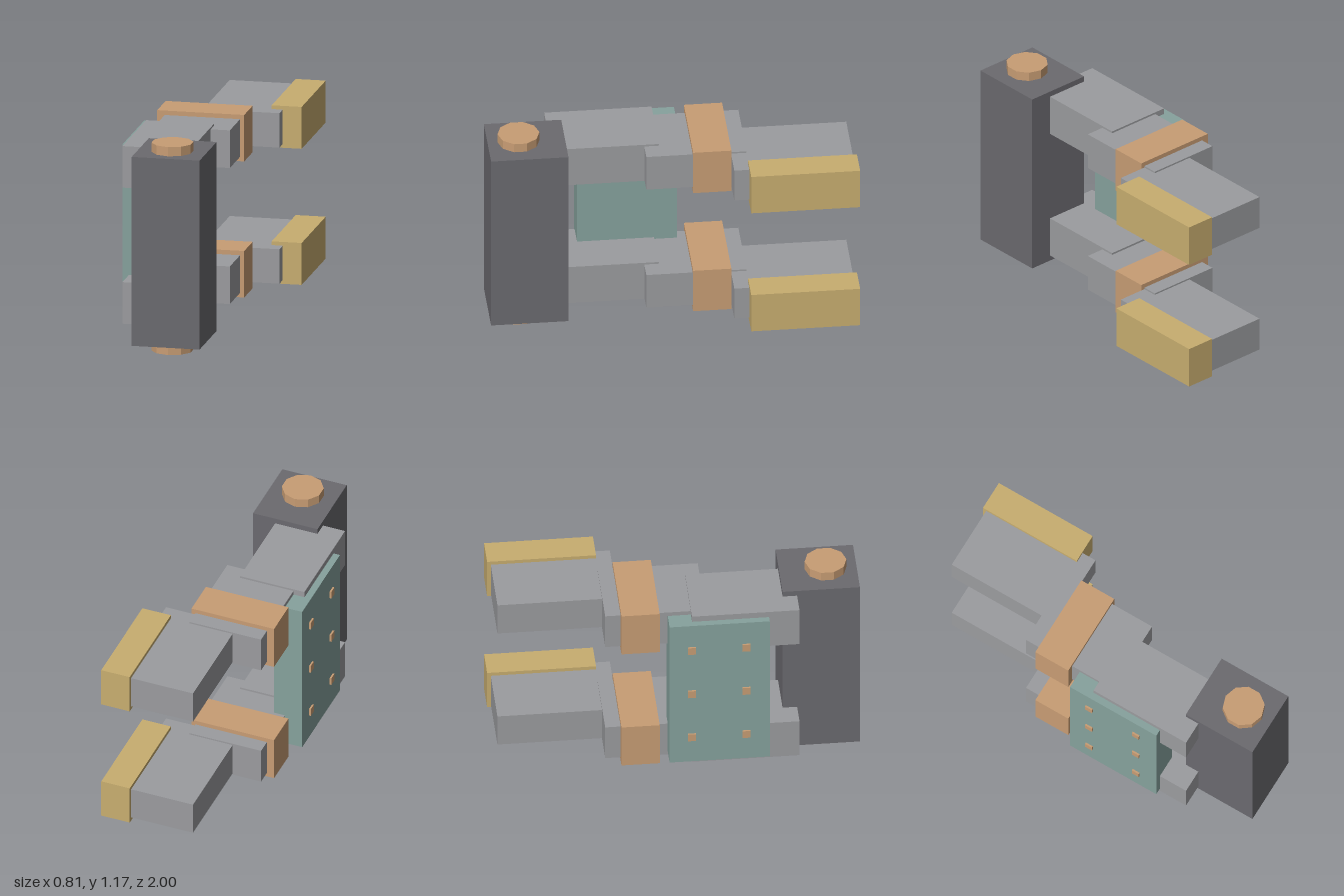
import * as THREE from 'three';

const mat = (name, color) => {
  const m = new THREE.MeshStandardMaterial({ color });
  m.name = name;
  return m;
};

export function createModel() {
  const darkGrey = mat('dark grey', 0x6b6a6f);
  const lightGrey = mat('light grey', 0x9b9c9f);
  const copper = mat('copper', 0xc89d74);
  const gold = mat('gold', 0xc8ae70);
  const teal = mat('teal', 0x86a29d);

  const root = new THREE.Group();
  root.name = 'hingedBracket';

  // Box given by its [min, max] range along each axis
  const box = (parent, name, material, [x0, x1], [y0, y1], [z0, z1]) => {
    const mesh = new THREE.Mesh(new THREE.BoxGeometry(x1 - x0, y1 - y0, z1 - z0), material);
    mesh.position.set((x0 + x1) / 2, (y0 + y1) / 2, (z0 + z1) / 2);
    mesh.name = name;
    parent.add(mesh);
    return mesh;
  };

  // Upright post with a ten-sided pin through it
  box(root, 'post', darkGrey, [-0.23, 0.15], [0.055, 1.12], [0.575, 1.0]);
  const pinGeometry = new THREE.CylinderGeometry(0.115, 0.115, 1.172, 10).toNonIndexed();
  pinGeometry.computeVertexNormals();
  const pin = new THREE.Mesh(pinGeometry, copper);
  pin.name = 'pin';
  pin.position.set(-0.04, 0.586, 0.83);
  root.add(pin);

  // Two identical stepped arms
  [['lowerArm', 0.204], ['upperArm', 0.971]].forEach(([name, y]) => {
    const arm = new THREE.Group();
    arm.name = name;
    arm.position.y = y;
    box(arm, 'baseSegment', lightGrey, [-0.36, 0.02], [-0.117, 0.117], [0.065, 0.655]);
    box(arm, 'middleSegment', lightGrey, [-0.295, 0.127], [-0.106, 0.106], [-0.405, 0.145]);
    box(arm, 'collar', copper, [-0.337, 0.15], [-0.131, 0.131], [-0.32, -0.11]);
    box(arm, 'endSegment', lightGrey, [-0.127, 0.3], [-0.097, 0.097], [-0.98, -0.32]);
    box(arm, 'gripPad', gold, [0.238, 0.406], [-0.118, 0.118], [-1.0, -0.402]);
    root.add(arm);
  });

  // Side plate joining the arms, with two columns of bolts
  box(root, 'sidePlate', teal, [-0.398, -0.232], [0.12, 1.053], [-0.062, 0.488]);
  for (const y of [0.289, 0.587, 0.885]) {
    for (const z of [0.061, 0.36]) {
      box(root, 'bolt', copper, [-0.408, -0.39], [y - 0.023, y + 0.023], [z - 0.022, z + 0.022]);
    }
  }
  return root;
}
